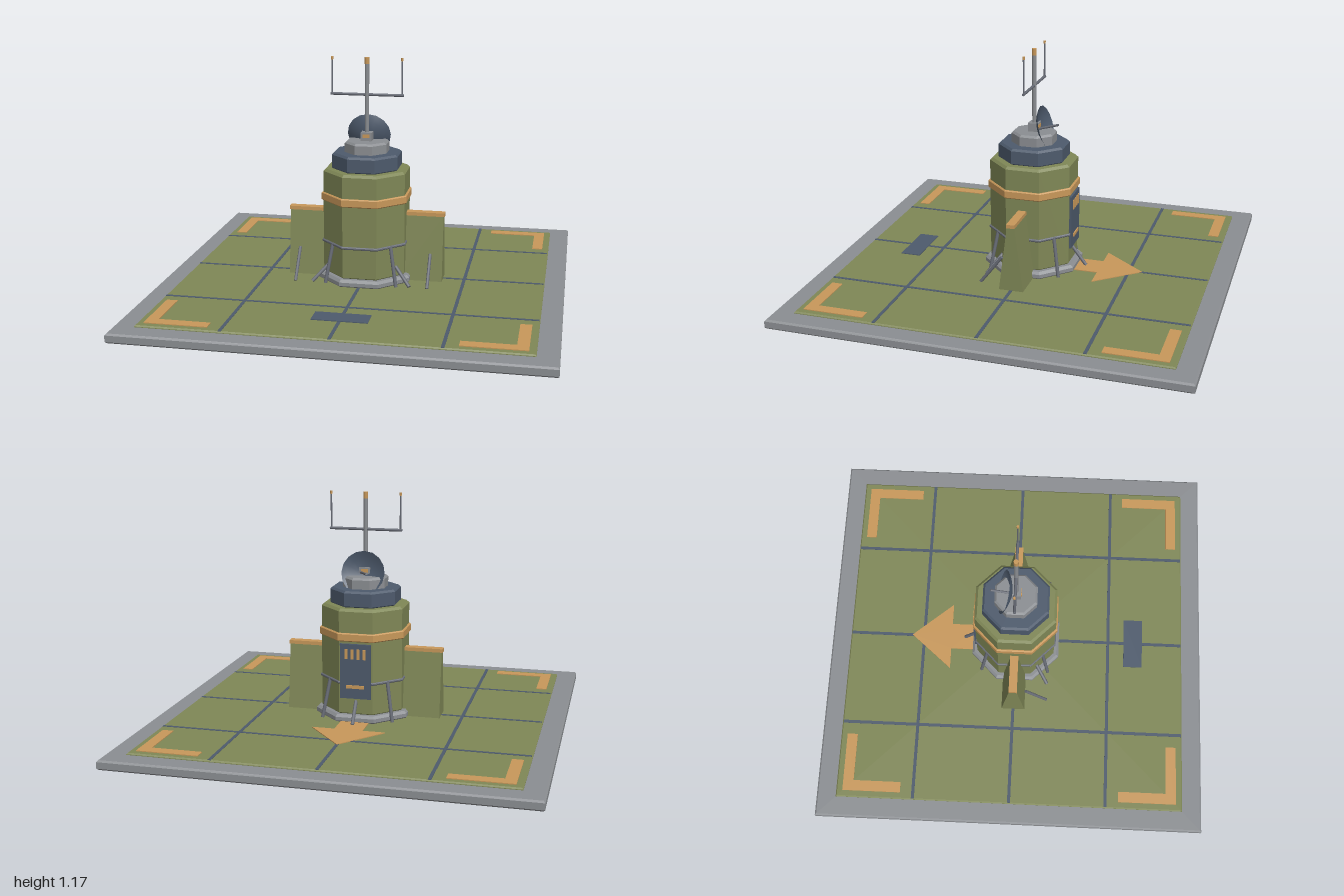
import * as THREE from 'three';

const mat = (name, color) => {
  const m = new THREE.MeshStandardMaterial({ color });
  m.name = name;
  return m;
};

export function createModel() {
  const root = new THREE.Group();
  const green = mat('olive', 0x7f8756);
  const orange = mat('ochre', 0xc8985a);
  const blue = mat('slate blue', 0x4d5a6c);
  const grey = mat('concrete grey', 0x8b8e92);
  const steel = mat('steel', 0x686c76);
  const dish = blue.clone();
  dish.name = 'dish blue';
  dish.side = THREE.DoubleSide;

  const add = (name, geo, material, x = 0, y = 0, z = 0, parent = root) => {
    const m = new THREE.Mesh(geo, material);
    m.name = name;
    m.position.set(x, y, z);
    parent.add(m);
    return m;
  };
  const box = (name, material, w, h, d, x, y, z) =>
    add(name, new THREE.BoxGeometry(w, h, d), material, x, y, z);

  // Flat-sided prism from [apothem, y] pairs, with sides facing the axes
  const prism = (name, material, sides, profile) => {
    const k = 1 / Math.cos(Math.PI / sides);
    const pts = profile.map(([a, y]) => new THREE.Vector2(a * k, y));
    const geo = new THREE.LatheGeometry(pts, sides).rotateY(Math.PI / sides).toNonIndexed();
    geo.computeVertexNormals();
    return add(name, geo, material);
  };
  // Closed prism with chamfered rims
  const bevelled = (name, material, sides, a, y0, y1, b) =>
    prism(name, material, sides, [[0, y0], [a - b, y0], [a, y0 + b], [a, y1 - b], [a - b, y1], [0, y1]]);

  // Round bar between two points
  const rod = (name, material, p, q, r) => {
    const a = new THREE.Vector3(...p), b = new THREE.Vector3(...q);
    const d = b.clone().sub(a);
    const m = add(name, new THREE.CylinderGeometry(r, r, d.length(), 8), material);
    m.position.copy(a).add(b).multiplyScalar(0.5);
    m.quaternion.setFromUnitVectors(new THREE.Vector3(0, 1, 0), d.normalize());
    return m;
  };

  // Ground slab and deck
  bevelled('slab', grey, 4, 1, 0, 0.047, 0.008);
  bevelled('deck', green, 4, 0.9, 0.04, 0.056, 0.006);
  for (const p of [-0.5, 0, 0.5]) {
    box('deckSeam', blue, 0.016, 0.004, 1.79, p, 0.0555, 0);
    box('deckSeam', blue, 1.79, 0.004, 0.016, 0, 0.0555, p);
  }

  // Painted deck markings
  const plate = (name, material, points) => {
    const shape = new THREE.Shape(points.map(([x, z]) => new THREE.Vector2(x, -z)));
    const geo = new THREE.ExtrudeGeometry(shape, { depth: 0.006, bevelEnabled: false });
    return add(name, geo.rotateX(-Math.PI / 2), material, 0, 0.054, 0);
  };
  for (const sx of [-1, 1]) for (const sz of [-1, 1]) {
    plate('cornerMark', orange, [[0.867, 0.867], [0.567, 0.867], [0.567, 0.813],
      [0.813, 0.813], [0.813, 0.567], [0.867, 0.567]].map(([x, z]) => [x * sx, z * sz]));
  }
  plate('arrow', orange, [[0, -0.565], [0.182, -0.35], [0.07, -0.35], [0.07, -0.2],
    [-0.07, -0.2], [-0.07, -0.35], [-0.182, -0.35]]);
  plate('frontPad', blue, [[-0.133, 0.585], [0.133, 0.585], [0.133, 0.685], [-0.133, 0.685]]);

  // Octagonal tower
  bevelled('towerFoot', grey, 8, 0.232, 0.05, 0.092, 0.012);
  bevelled('towerBody', green, 8, 0.205, 0.085, 0.62, 0.012);
  bevelled('lowerRing', steel, 8, 0.212, 0.244, 0.258, 0.004);
  bevelled('towerBand', orange, 8, 0.214, 0.46, 0.502, 0.005);
  bevelled('towerCap', blue, 8, 0.165, 0.615, 0.7, 0.01);
  bevelled('upperCap', grey, 8, 0.105, 0.69, 0.755, 0.01);

  // Rear door with vent slats and handle strip
  box('door', blue, 0.155, 0.275, 0.016, 0, 0.312, -0.208);
  for (let i = 0; i < 4; i++) {
    box('ventSlat', orange, 0.014, 0.05, 0.006, -0.045 + i * 0.03, 0.4, -0.218);
  }
  box('doorStrip', orange, 0.09, 0.016, 0.008, 0, 0.235, -0.218);

  // Side buttresses, each with a coping and a leaning lever
  const profile = new THREE.Shape([[-0.062, 0.05], [0.062, 0.05], [0.018, 0.388], [-0.018, 0.388]]
    .map((p) => new THREE.Vector2(...p)));
  const wedge = new THREE.ExtrudeGeometry(profile, { depth: 0.23, bevelEnabled: false })
    .translate(0, 0, -0.115).rotateY(Math.PI / 2);
  for (const s of [-1, 1]) {
    add('buttress', wedge, green, s * 0.277, 0, 0);
    box('buttressCoping', orange, 0.21, 0.018, 0.042, s * 0.292, 0.392, 0);
    rod('lever', steel, [s * 0.333, 0.2, 0.065], [s * 0.333, 0.056, 0.175], 0.008);

    // Tall struts from the ring and short front braces
    for (const z of [-1, 1]) {
      rod('strut', steel, [s * 0.145, 0.255, z * 0.145], [s * 0.178, 0.056, z * 0.178], 0.009);
    }
    rod('frontBrace', steel, [s * 0.16, 0.15, 0.11], [s * 0.245, 0.06, 0.175], 0.009);
  }
  rod('rearBrace', steel, [0, 0.165, -0.195], [0, 0.06, -0.275], 0.009);

  // Mast with crossbar and whip antennas
  box('mastMount', grey, 0.056, 0.045, 0.05, 0, 0.775, 0);
  box('mastCollar', orange, 0.036, 0.018, 0.056, 0, 0.78, 0);
  rod('mast', grey, [0, 0.75, 0], [0, 1.14, 0], 0.011);
  rod('mastTip', orange, [0, 1.137, 0], [0, 1.17, 0], 0.012);
  rod('crossbar', steel, [-0.183, 0.985, 0], [0.183, 0.985, 0], 0.007);
  for (const s of [-1, 1]) {
    rod('whip', steel, [s * 0.175, 0.985, 0], [s * 0.175, 1.16, 0], 0.004);
    rod('whipTip', orange, [s * 0.175, 1.155, 0], [s * 0.175, 1.17, 0], 0.006);
  }

  // Rear-facing dish tilted upward, with its feed
  const bowl = [[0, 0], [0.04, 0.006], [0.08, 0.021], [0.11, 0.04]].map((p) => new THREE.Vector2(...p));
  const axis = new THREE.Vector3(0, 0.28, -0.96).normalize();
  const reflector = add('dish', new THREE.LatheGeometry(bowl, 16), dish, 0, 0.764, -0.022);
  reflector.quaternion.setFromUnitVectors(new THREE.Vector3(0, 1, 0), axis);
  rod('dishFeed', steel, [0, 0.765, -0.025], [0, 0.793, -0.125], 0.006);

  return root;
}
